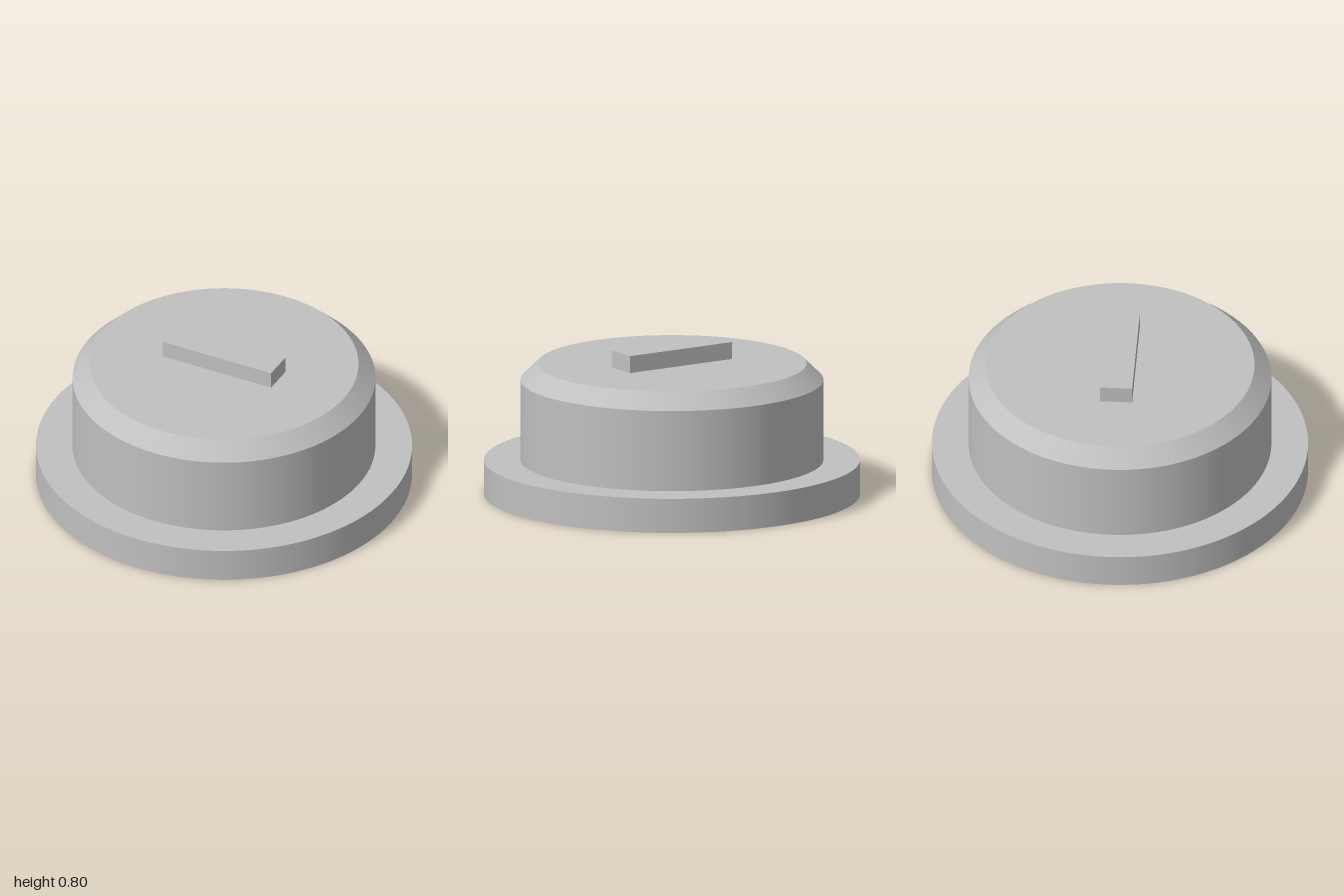
import * as THREE from 'three';
import { mergeGeometries } from 'three/addons/utils/BufferGeometryUtils.js';

const SEGMENTS = 96;

// Turned part: each profile span is lathed separately so its edges stay sharp
function turned(name, profile, material) {
  const spans = [];
  for (let i = 0; i < profile.length - 1; i++) {
    const pair = [profile[i], profile[i + 1]].map(([r, y]) => new THREE.Vector2(r, y));
    spans.push(new THREE.LatheGeometry(pair, SEGMENTS));
  }
  const mesh = new THREE.Mesh(mergeGeometries(spans), material);
  mesh.name = name;
  return mesh;
}

export function createModel() {
  const group = new THREE.Group();
  group.name = 'slottedCap';
  const grey = new THREE.MeshStandardMaterial({ color: 0xc0c0c0 });
  grey.name = 'light grey';

  // Wide base flange: underside, rim and upper ledge
  group.add(turned('baseFlange', [[0, 0], [1, 0], [1, 0.185], [0.805, 0.185]], grey));

  // Raised cap: wall, chamfer and flat top
  group.add(turned('cap', [[0.805, 0.185], [0.805, 0.62], [0.715, 0.708], [0, 0.708]], grey));

  // Straight grip bar across the top
  const bar = new THREE.Mesh(new THREE.BoxGeometry(0.65, 0.092, 0.17), grey);
  bar.name = 'gripBar';
  bar.position.y = 0.708 + 0.046;
  group.add(bar);

  return group;
}
